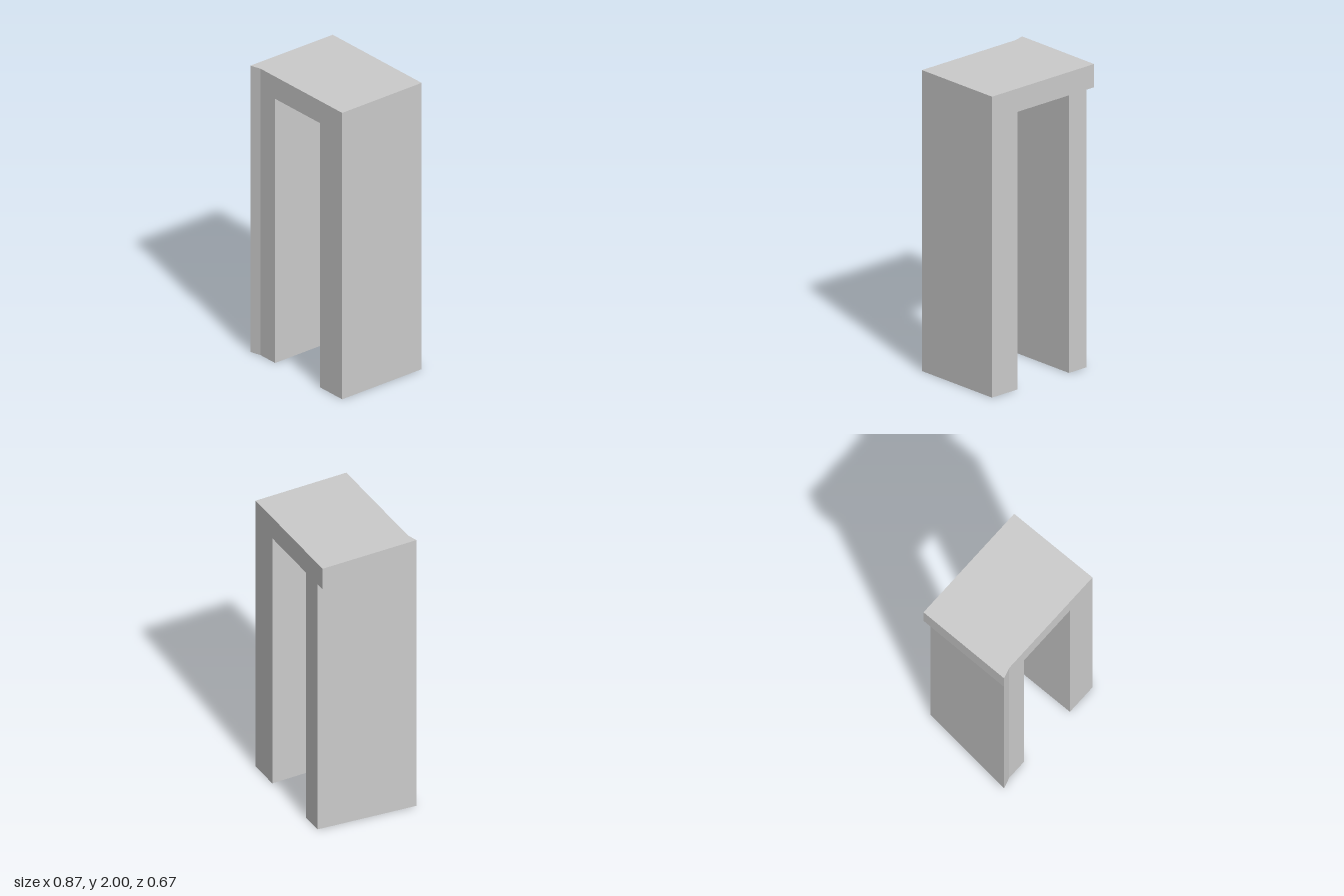
import * as THREE from 'three';

const TOP = 2, LINTEL = 1.845; // overall height, underside of the roof slab
const BACK = -0.333, FRONT = 0.312, TIP = 0.333; // depths
const SIDE = 0.433, OPENING = 0.218; // half widths

const material = new THREE.MeshStandardMaterial({ color: 0xcccccc, flatShading: true });

// Extrudes a plan outline of [x, z] points upwards from y0 to y1
function prism(name, plan, y0, y1) {
  const shape = new THREE.Shape(plan.map(([x, z]) => new THREE.Vector2(x, -z)));
  const geometry = new THREE.ExtrudeGeometry(shape, { depth: y1 - y0, bevelEnabled: false });
  geometry.rotateX(-Math.PI / 2).translate(0, y0, 0);
  const mesh = new THREE.Mesh(geometry, material);
  mesh.name = name;
  return mesh;
}

export function createModel() {
  const model = new THREE.Group();
  model.name = 'archway';

  // Flared front corner, shared by the slab and the right leg
  const flare = [[-SIDE, TIP], [-0.36, FRONT]];

  // Slab across the top
  model.add(prism('roofSlab',
    [[-0.43, BACK], ...flare, [SIDE, FRONT], [SIDE, BACK]], LINTEL, TOP));

  // Plain rectangular leg
  model.add(prism('leftLeg',
    [[OPENING, BACK], [OPENING, FRONT], [SIDE, FRONT], [SIDE, BACK]], 0, LINTEL));

  // Leg whose outer wall tapers inwards to the back, leaving the slab overhanging
  model.add(prism('rightLeg',
    [[-0.365, BACK], ...flare, [-OPENING, FRONT], [-OPENING, BACK]], 0, LINTEL));

  return model;
}
